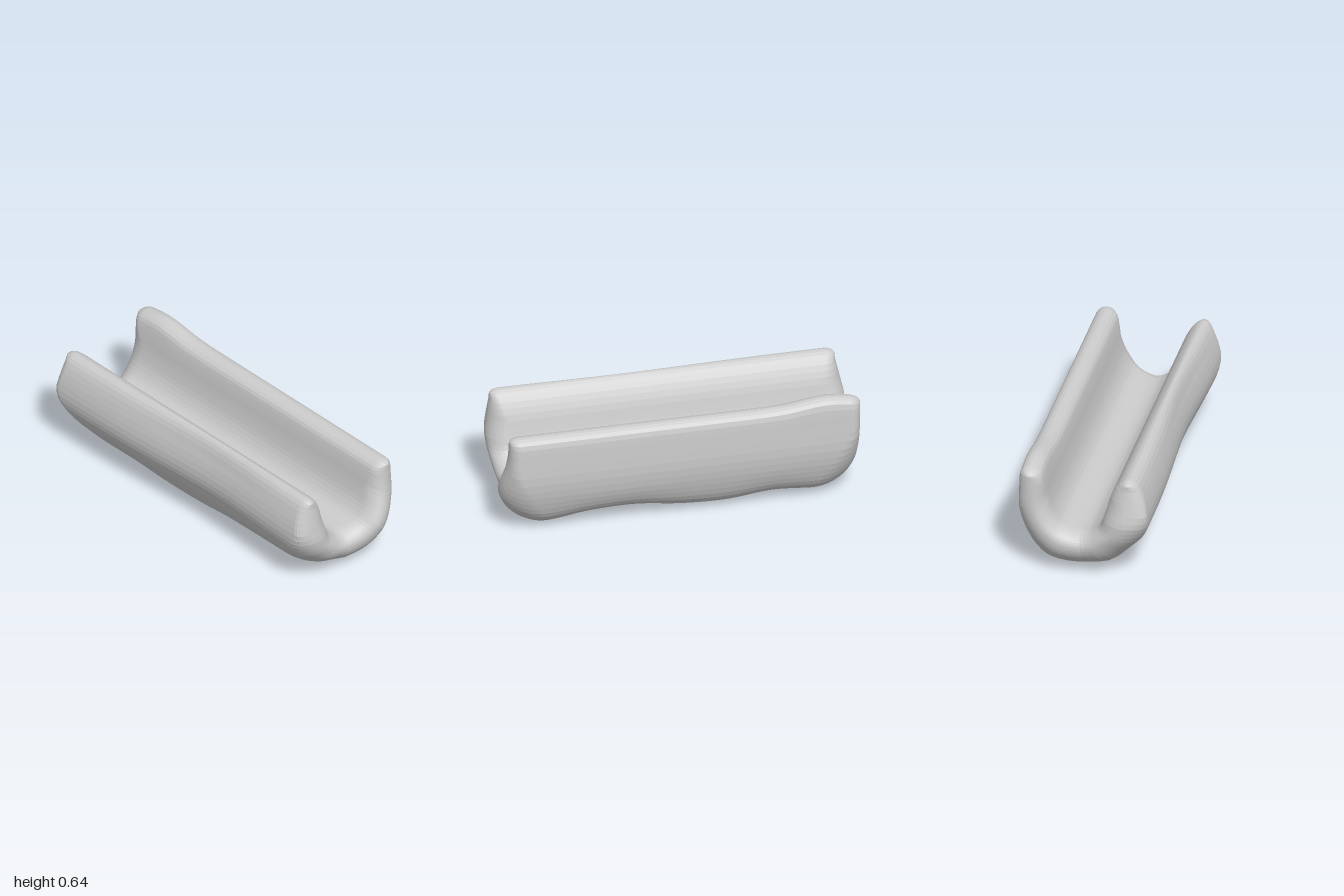
import * as THREE from 'three';

const clamp = (v) => Math.min(1, Math.max(0, v));
const bell = (v, centre, width) => Math.exp(-(((v - centre) / width) ** 2));

// Stations along the U, front lip to back lip: outer z, y and inner z, y
const STATIONS = [
  [0.302, 0.575, 0.195, 0.575], [0.341, 0.48, 0.147, 0.49], [0.357, 0.37, 0.118, 0.385],
  [0.332, 0.27, 0.09, 0.305], [0.255, 0.15, 0.045, 0.265], [0.14, 0.025, 0.008, 0.25],
  [-0.05, -0.003, -0.035, 0.248], [-0.2, 0.018, -0.085, 0.258], [-0.28, 0.085, -0.135, 0.287],
  [-0.328, 0.2, -0.175, 0.35], [-0.353, 0.33, -0.198, 0.43], [-0.352, 0.48, -0.214, 0.52],
  [-0.342, 0.58, -0.235, 0.58],
];
const FRONT_TIP = [0.25, 0.607];
const BACK_TIP = [-0.292, 0.609];

// Height of the uneven underside at even steps along x, back and front
const heights = (values) => new THREE.CatmullRomCurve3(
  values.map((y, i) => new THREE.Vector3(i / 4 - 1, y, 0)), false, 'catmullrom');
const UNDER_BACK = heights([0.02, 0.012, 0.028, 0.004, 0.012, 0.042, 0.037, 0.006, 0.02]);
const UNDER_FRONT = heights([0.025, 0.018, 0.02, 0.01, 0.015, 0.035, 0.042, 0.045, 0.06]);

const loop = (points) => new THREE.CatmullRomCurve3(
  points.map(([z, y]) => new THREE.Vector3(0, y, z)), true, 'catmullrom');

function troughGeometry() {
  const outer = STATIONS.map((s) => [s[0], s[1]]);
  const inner = STATIONS.map((s) => [s[2], s[3]]).reverse();
  // The ends round in towards this line, which runs nearer the inside at the floor
  const middle = STATIONS.map(([oz, oy, iz, iy]) => {
    const t = 0.5 + 0.2 * clamp((0.4 - oy) / 0.3);
    return [oz + (iz - oz) * t, oy + (iy - oy) * t];
  });
  const outline = loop([...outer, BACK_TIP, ...inner, FRONT_TIP]);
  const spine = loop([...middle, middle[12], ...[...middle].reverse(), middle[0]]);

  const around = 84, rings = 64;
  const positions = [], indices = [];
  for (let i = 0; i <= rings; i++) {
    const u = Math.sin((i / rings - 0.5) * Math.PI);
    for (let j = 0; j < around; j++) {
      const p = outline.getPoint(j / around);
      const m = spine.getPoint(j / around);
      const isOuter = j <= 39 || j >= 81;

      // Uneven ends that bulge below the lips
      const front = clamp(m.z / 0.22), back = clamp(-m.z / 0.2);
      const high = clamp((m.y - 0.36) / 0.2);
      const left = -0.955 - front * (0.045 - 0.045 * high) - back * 0.015;
      const right = 0.945 + front * (0.03 - 0.03 * high) + back * (0.015 + 0.042 * bell(m.y, 0.26, 0.15));
      const x = THREE.MathUtils.lerp(left, right, (u + 1) / 2);

      // Wavy underside, hollowed front wall, raised corner of the back lip
      if (isOuter) {
        const t = (x + 1) / 2;
        const under = THREE.MathUtils.lerp(
          UNDER_BACK.getPoint(t).y, UNDER_FRONT.getPoint(t).y, clamp((p.z + 0.05) / 0.15));
        p.y += under * clamp((0.22 - p.y) / 0.18);
      }
      const hollow = 0.036 * bell(x, 0.2, 0.5) + 0.01 * clamp(x);
      p.z -= hollow * clamp((p.z - 0.22) / 0.11);
      const lip = clamp((p.y - 0.45) / 0.13);
      if (p.z < -0.2) p.y += 0.032 * bell(x, -0.78, 0.18) * lip;

      // Wide rounding below, tight rounding on the lips and inside
      const radius = isOuter ? 0.06 + 0.19 * clamp((0.4 - p.y) / 0.3) : 0.06 + 0.05 * clamp((0.55 - p.y) / 0.1);
      const e = clamp(1 - Math.min(x - left, right - x) / radius);
      p.lerp(m, 1 - Math.sqrt(1 - e * e));
      positions.push(x, p.y, p.z);

      if (i < rings) {
        const k = (j + 1) % around;
        const a = i * around + j, b = i * around + k;
        indices.push(a, b, b + around, a, b + around, a + around);
      }
    }
  }
  const geometry = new THREE.BufferGeometry();
  geometry.setAttribute('position', new THREE.Float32BufferAttribute(positions, 3));
  geometry.setIndex(indices);
  geometry.computeVertexNormals();
  return geometry;
}

export function createModel() {
  const group = new THREE.Group();
  group.name = 'trough';
  const wall = new THREE.Mesh(
    troughGeometry(),
    new THREE.MeshStandardMaterial({ color: 0xcccccc, flatShading: true }));
  wall.name = 'curvedWall';
  group.add(wall);
  return group;
}
